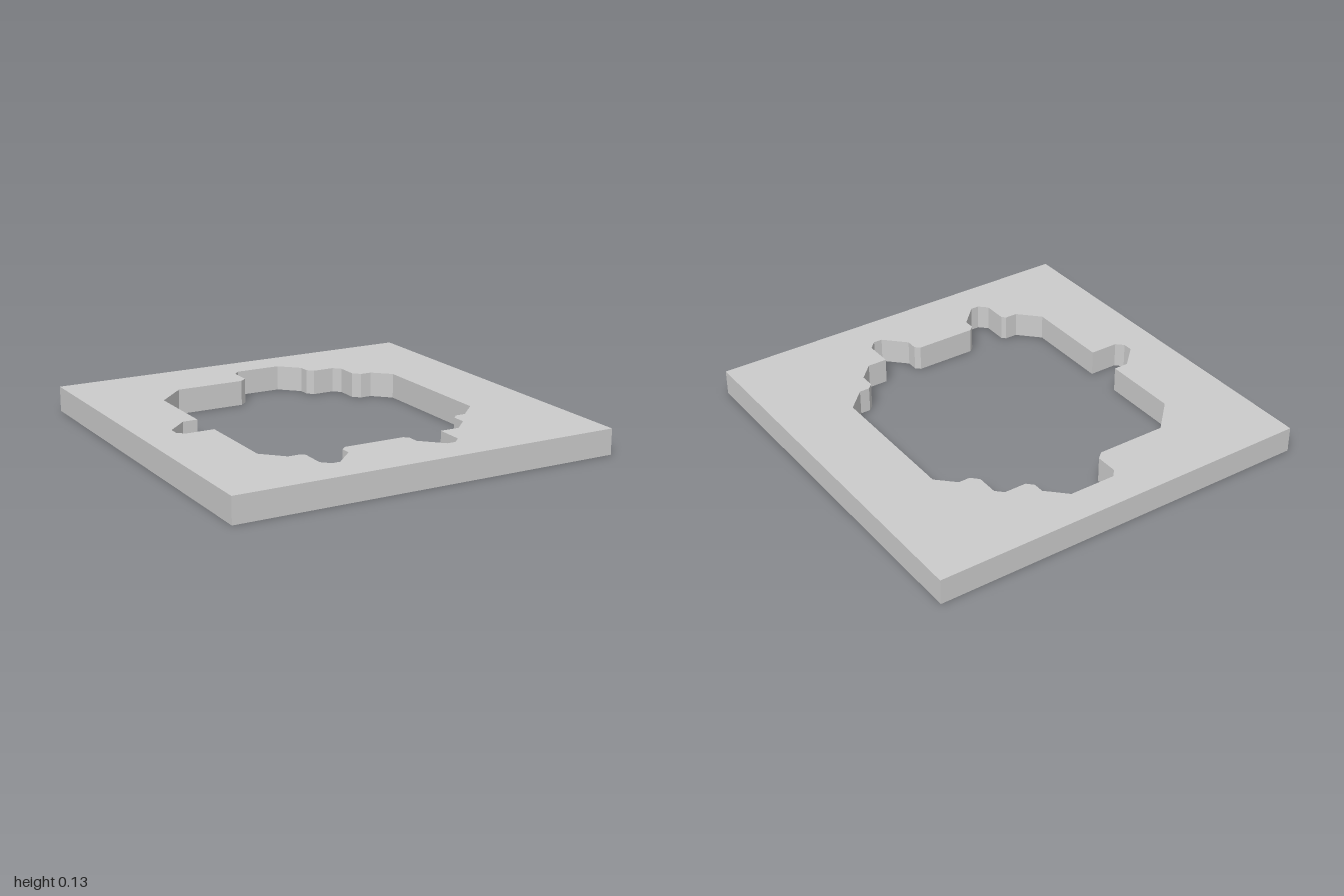
import * as THREE from 'three';

const HEIGHT = 0.13;

// Outline of the opening as [x, z], starting at the back notch
const OPENING = [
  // back notch and stepped back-left corner
  [-0.06, -0.825], [0.18, -0.825], [0.275, -0.73], [0.275, -0.675], [0.305, -0.643],
  [0.42, -0.643], [0.455, -0.607], [0.455, -0.497], [0.49, -0.46], [0.55, -0.46],
  // left wall and stepped front-left corner
  [0.637, -0.375], [0.637, 0.35], [0.535, 0.453], [0.483, 0.453], [0.455, 0.48],
  [0.455, 0.555], [0.375, 0.636],
  // two front notches
  [0.275, 0.636], [0.275, 0.778], [0.235, 0.818], [0.19, 0.818], [0.088, 0.715],
  [0.088, 0.658], [0.065, 0.636], [-0.247, 0.636], [-0.273, 0.66], [-0.273, 0.715],
  [-0.375, 0.818], [-0.418, 0.818], [-0.458, 0.778], [-0.458, 0.655], [-0.476, 0.636],
  [-0.54, 0.636],
  // right wall with its side notch
  [-0.64, 0.533], [-0.64, 0.089], [-0.787, 0.089], [-0.822, 0.055], [-0.822, 0.005],
  [-0.717, -0.097], [-0.64, -0.097], [-0.64, -0.493], [-0.49, -0.643],
  [-0.13, -0.643], [-0.093, -0.675], [-0.093, -0.79],
];

const toPoints = (list) => list.map(([x, z]) => new THREE.Vector2(x, z));

export function createModel() {
  const group = new THREE.Group();
  group.name = 'cutoutTile';

  // Square plate with the notched opening cut through it
  const shape = new THREE.Shape(toPoints([[-1, -1], [1, -1], [1, 1], [-1, 1]]));
  shape.holes.push(new THREE.Path(toPoints(OPENING)));
  const geometry = new THREE.ExtrudeGeometry(shape, { depth: HEIGHT, bevelEnabled: false });

  // Lay it flat: shape y becomes z, depth runs down to the ground
  geometry.rotateX(Math.PI / 2).translate(0, HEIGHT, 0);

  const plate = new THREE.Mesh(
    geometry,
    new THREE.MeshStandardMaterial({ color: 0xcccccc, flatShading: true }),
  );
  plate.name = 'plate';
  group.add(plate);
  return group;
}
